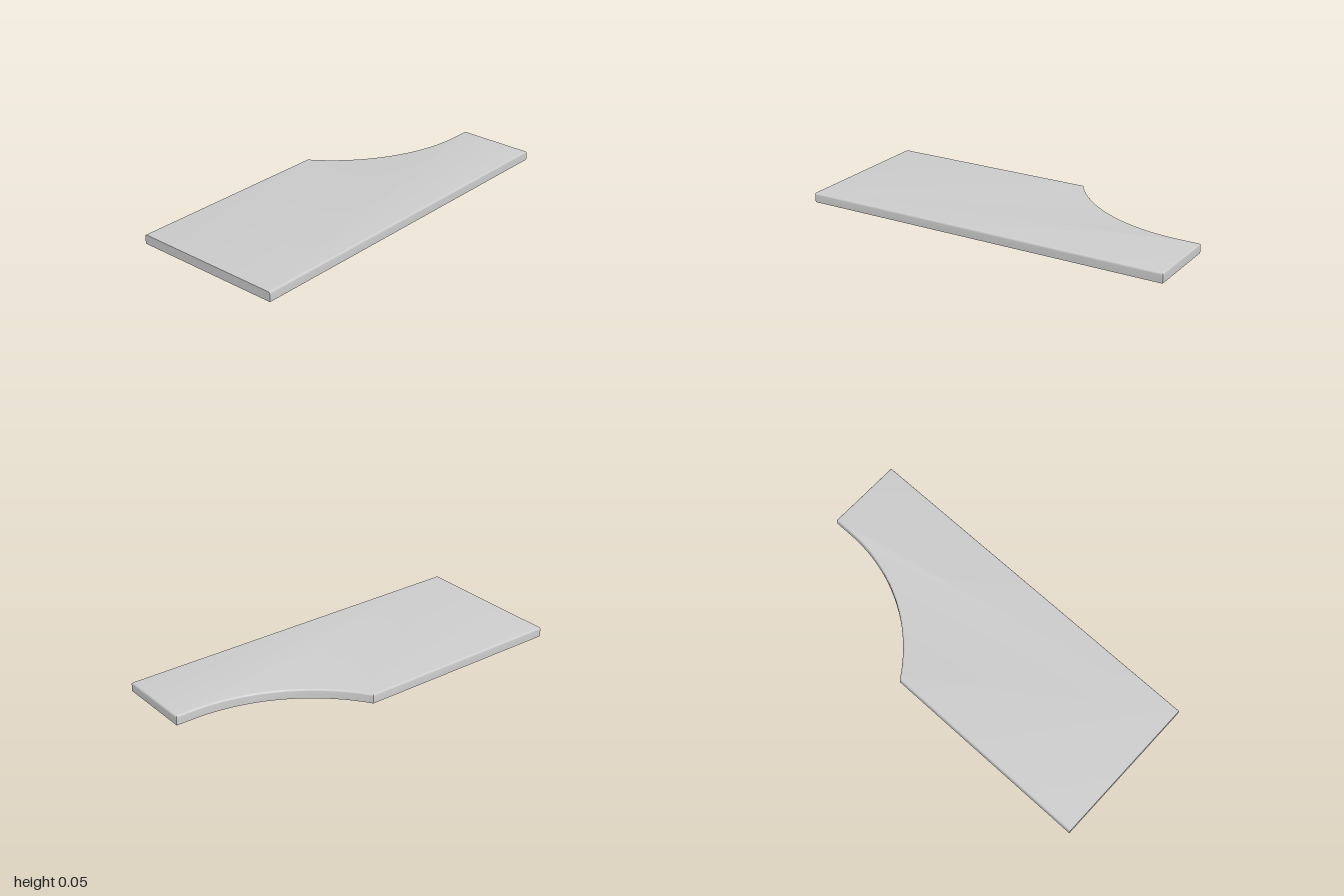
import * as THREE from 'three';
import { mergeGeometries, toCreasedNormals } from 'three/addons/utils/BufferGeometryUtils.js';

const HALF_DEPTH = 0.414, HEIGHT = 0.05, EDGE = 0.01;
const ARC_X = 0.9, ARC_R = 0.9, ARC_STEPS = 40, EDGE_STEPS = 5;

// Plan outline as (x, z), drawn in by d on every side but the square left end
function outline(d) {
  const back = -HALF_DEPTH + d, r = ARC_R + d;
  const points = [
    new THREE.Vector2(-1, HALF_DEPTH - d),
    new THREE.Vector2(1 - d, HALF_DEPTH - d),
    new THREE.Vector2(1 - d, d),
  ];
  // concave cut-out, from the narrow end to the back edge
  const end = Math.acos((back + ARC_R) / r);
  for (let i = 0; i <= ARC_STEPS; i++) {
    const a = end * i / ARC_STEPS;
    points.push(new THREE.Vector2(ARC_X - r * Math.sin(a), -ARC_R + r * Math.cos(a)));
  }
  points.push(new THREE.Vector2(-1, back));
  return points;
}

// Flat face filling an outline at height y
function cap(points, y, up) {
  const shape = new THREE.Shape(points.map(p => new THREE.Vector2(p.x, -p.y)));
  const g = new THREE.ShapeGeometry(shape).toNonIndexed();
  if (!up) {
    g.scale(1, -1, 1);
    const pos = g.attributes.position;
    // mirrored faces already wind downward after the turn below
    for (let i = 0; i < pos.count; i++) pos.setY(i, -pos.getY(i));
    for (let i = 0; i < pos.count; i += 3) {
      const b = new THREE.Vector3().fromBufferAttribute(pos, i + 1);
      const c = new THREE.Vector3().fromBufferAttribute(pos, i + 2);
      pos.setXYZ(i + 1, c.x, c.y, c.z);
      pos.setXYZ(i + 2, b.x, b.y, b.z);
    }
  }
  g.rotateX(-Math.PI / 2).translate(0, y, 0);
  g.deleteAttribute('uv');
  g.deleteAttribute('normal');
  return g;
}

// Side walls joining the stacked outlines
function walls(rings) {
  const v = [];
  const put = (ring, i) => {
    const p = ring.points[i % ring.points.length];
    v.push(p.x, ring.y, p.y);
  };
  for (let k = 0; k < rings.length - 1; k++) {
    const lo = rings[k], hi = rings[k + 1];
    for (let i = 0; i < lo.points.length; i++) {
      put(lo, i); put(lo, i + 1); put(hi, i + 1);
      put(lo, i); put(hi, i + 1); put(hi, i);
    }
  }
  const g = new THREE.BufferGeometry();
  g.setAttribute('position', new THREE.Float32BufferAttribute(v, 3));
  return g;
}

export function createModel() {
  // straight sides, then a quarter-round along the top edge
  const rings = [{ y: 0, points: outline(0) }];
  for (let i = 0; i <= EDGE_STEPS; i++) {
    const a = (i / EDGE_STEPS) * Math.PI / 2;
    rings.push({
      y: HEIGHT - EDGE + EDGE * Math.sin(a),
      points: outline(EDGE * (1 - Math.cos(a))),
    });
  }
  const top = rings[rings.length - 1];
  const geometry = toCreasedNormals(mergeGeometries([
    walls(rings),
    cap(rings[0].points, 0, false),
    cap(top.points, HEIGHT, true),
  ]), 0.5);

  const slab = new THREE.Mesh(geometry, new THREE.MeshStandardMaterial({ color: 0xcccccc }));
  slab.name = 'worktop';
  const model = new THREE.Group();
  model.name = 'curvedWorktop';
  model.add(slab);
  return model;
}
